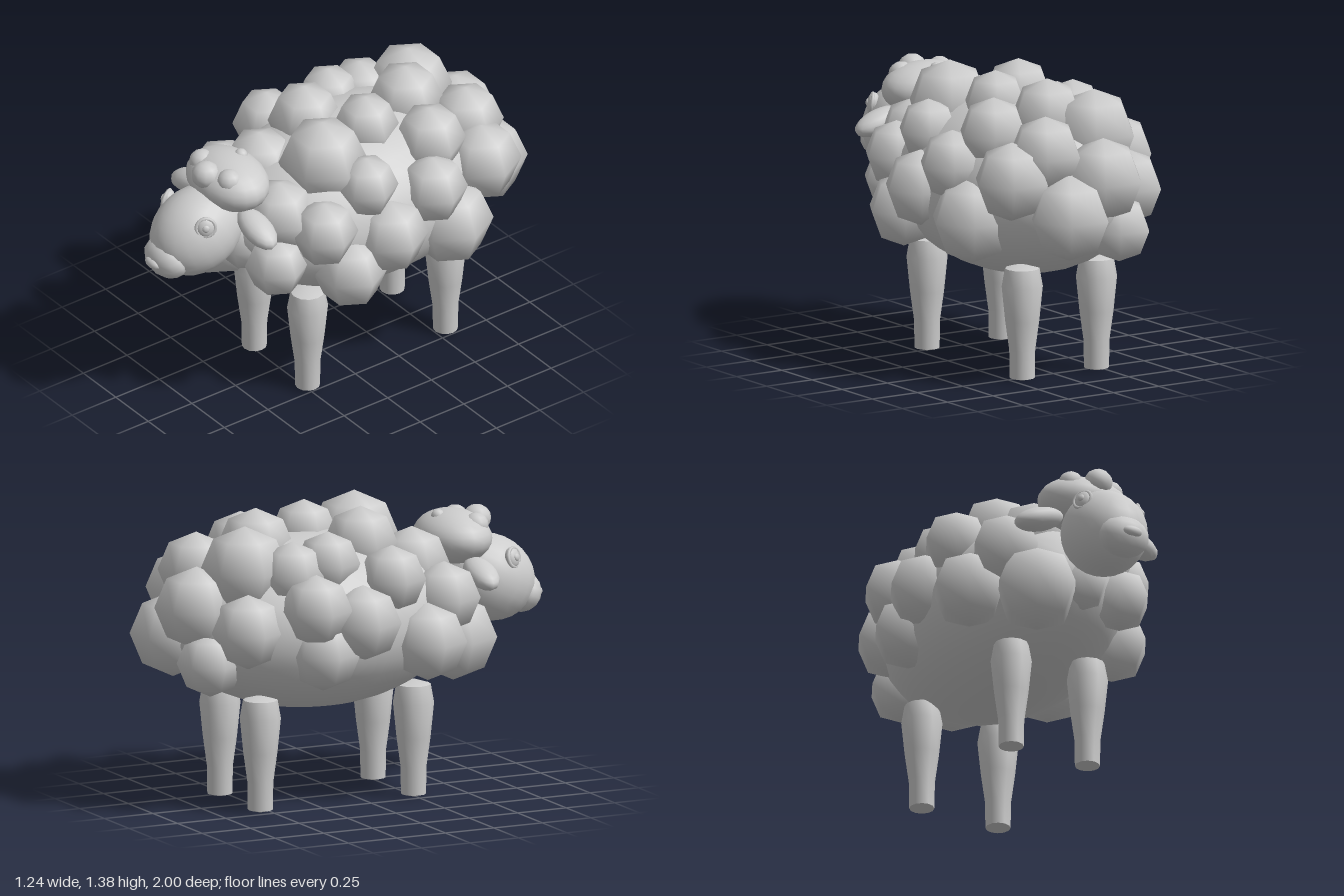
import * as THREE from 'three';
import { toCreasedNormals } from 'three/addons/utils/BufferGeometryUtils.js';

const grey = new THREE.MeshStandardMaterial({ color: 0xcccccc });
grey.name = 'grey';

export function createModel() {
  const model = new THREE.Group();
  model.name = 'sheep';

  function add(name, geometry, parent = model) {
    const mesh = new THREE.Mesh(geometry, grey);
    mesh.name = name;
    parent.add(mesh);
    return mesh;
  }

  // Smooth ellipsoid with its own centre, radii and rotation
  function ellipsoid(name, [x, y, z], [rx, ry, rz], rot = [0, 0, 0], parent = model, segs = [20, 14]) {
    const mesh = add(name, new THREE.SphereGeometry(1, ...segs), parent);
    mesh.position.set(x, y, z);
    mesh.scale.set(rx, ry, rz);
    mesh.rotation.set(...rot);
    return mesh;
  }

  // Body
  ellipsoid('body', [0, 0.85, -0.17], [0.49, 0.41, 0.72], [0, 0, 0], model, [28, 18]);

  // Wool puffs: six-sided low-poly balls [x, y, z, radius]
  const puffs = [
    // along the back
    [0.01, 1.21, -0.465, 0.178], [0.17, 1.09, -0.69, 0.178], [-0.155, 1.14, -0.605, 0.205],
    [0.1, 1.23, -0.17, 0.155], [-0.14, 1.21, 0, 0.172], [0.16, 1.185, 0.12, 0.205],
    [-0.11, 1.08, 0.28, 0.175], [-0.28, 1.16, -0.24, 0.15],
    // rump
    [-0.07, 0.965, -0.81, 0.195], [0.13, 0.81, -0.83, 0.2], [-0.17, 0.72, -0.79, 0.155],
    // +x flank
    [0.335, 0.975, -0.66, 0.185], [0.27, 1.15, -0.41, 0.17], [0.43, 1.005, -0.31, 0.163],
    [0.35, 1.1, 0.01, 0.148], [0.44, 0.855, -0.06, 0.178], [0.4, 0.765, -0.43, 0.203],
    [0.36, 0.945, 0.26, 0.158], [0.4, 0.715, 0.14, 0.175],
    // -x flank
    [-0.38, 1.08, 0.04, 0.158], [-0.3, 0.95, 0.35, 0.168], [-0.41, 0.775, 0.21, 0.182],
    [-0.44, 0.9, -0.14, 0.178], [-0.44, 0.98, -0.38, 0.168], [-0.28, 1.12, -0.42, 0.16],
    [-0.3, 0.88, -0.66, 0.175], [-0.41, 0.77, -0.33, 0.175],
    // chest
    [0.18, 1.0, 0.38, 0.17], [0.25, 0.785, 0.45, 0.148], [-0.195, 0.735, 0.45, 0.203],
    [0.03, 0.81, 0.46, 0.14],
  ];
  const wool = new THREE.Group();
  wool.name = 'wool';
  model.add(wool);
  const puffGeometry = new THREE.SphereGeometry(1, 6, 4);
  for (const [x, y, z, r] of puffs) {
    const puff = add('woolPuff', puffGeometry, wool);
    puff.position.set(x, y, z);
    puff.scale.setScalar(r);
  }

  // Legs: tapered, with a shallow pointed hoof
  const legProfile = [
    [0, 0.005], [0.058, 0.02], [0.06, 0.15], [0.079, 0.29],
    [0.095, 0.45], [0.08, 0.535], [0, 0.56],
  ].map(([r, y]) => new THREE.Vector2(r, y));
  const legGeometry = toCreasedNormals(new THREE.LatheGeometry(legProfile, 12), 0.8);
  for (const x of [-0.205, 0.205]) {
    for (const z of [0.24, -0.55]) {
      add(z > 0 ? 'frontLeg' : 'backLeg', legGeometry).position.set(x, 0, z);
    }
  }

  // Head
  const head = new THREE.Group();
  head.name = 'head';
  model.add(head);
  ellipsoid('skull', [0, 0.955, 0.725], [0.19, 0.2, 0.235], [0.45, 0, 0], head);
  ellipsoid('muzzle', [0, 0.87, 0.895], [0.127, 0.097, 0.09], [0.4, 0, 0], head, [12, 8]);
  ellipsoid('nose', [0, 0.868, 0.975], [0.05, 0.025, 0.025], [0, 0, 0], head, [12, 8]);

  // Wool cap with small curls
  ellipsoid('woolCap', [0, 1.165, 0.545], [0.23, 0.125, 0.17], [0, 0, 0], head);
  const curls = [[0, 1.235, 0.67, 0.068], [-0.11, 1.228, 0.61, 0.06], [0.1, 1.228, 0.61, 0.06], [0, 1.265, 0.47, 0.032]];
  for (const [x, y, z, r] of curls) ellipsoid('curl', [x, y, z], [r, r * 0.95, r], [0, 0, 0], head, [10, 8]);

  // Ears and eyes, mirrored
  for (const s of [-1, 1]) {
    ellipsoid('ear', [s * 0.255, 1.03, 0.565], [0.13, 0.055, 0.072], [0, 0, -s * 0.32], head, [14, 10]);

    const eye = new THREE.Group();
    eye.name = 'eye';
    eye.position.set(s * 0.145, 1.065, 0.78);
    eye.rotation.set(-0.2, s * 1.05, 0, 'YXZ');
    head.add(eye);
    ellipsoid('eyeball', [0, 0, 0], [0.045, 0.05, 0.028], [0, 0, 0], eye, [14, 10]);
    add('eyelid', new THREE.TorusGeometry(0.044, 0.009, 6, 16), eye).position.z = 0.008;
    ellipsoid('pupil', [0, 0, 0.024], [0.018, 0.018, 0.01], [0, 0, 0], eye, [10, 8]);
  }

  return model;
}
